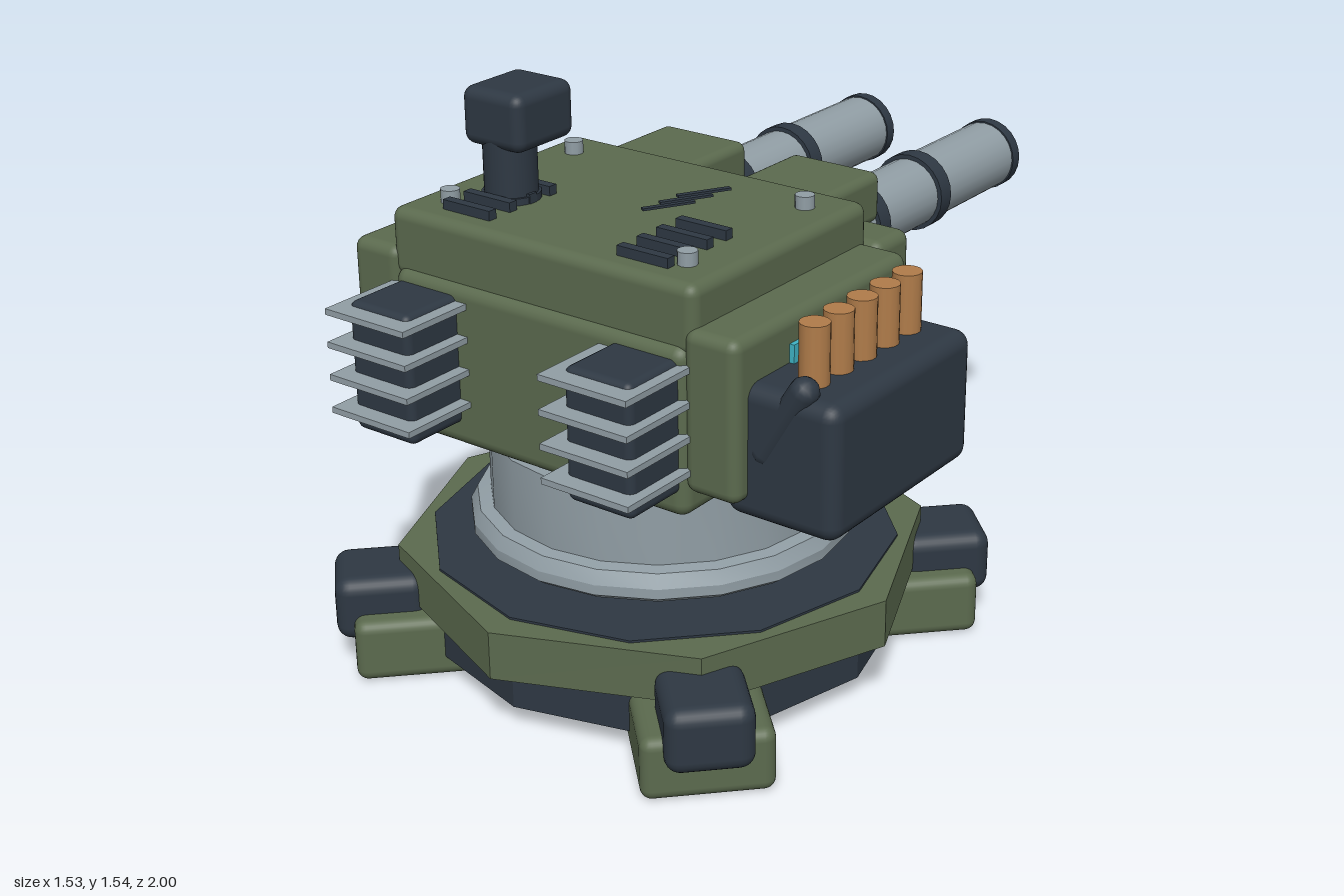
import * as THREE from 'three';
import { RoundedBoxGeometry } from 'three/addons/geometries/RoundedBoxGeometry.js';
import { toCreasedNormals } from 'three/addons/utils/BufferGeometryUtils.js';

const material = (color) => new THREE.MeshStandardMaterial({ color });
const GREEN = material(0x5b6a4e), DARK = material(0x2e3843), GREY = material(0x919ea5);
const CYAN = material(0x3fb4c6), BRASS = material(0xb07c4a);
const CX = -0.07, CZ = 0.28; // turret axis

export function createModel() {
  const model = new THREE.Group();

  const add = (name, geometry, mat, x = 0, y = 0, z = 0, parent = model) => {
    const mesh = new THREE.Mesh(geometry, mat);
    mesh.name = name;
    mesh.position.set(x, y, z);
    parent.add(mesh);
    return mesh;
  };
  // box given by its extents; radius 0 leaves it sharp
  const box = (name, mat, [x0, x1], [y0, y1], [z0, z1], radius = 0, parent = model) => {
    const size = [x1 - x0, y1 - y0, z1 - z0];
    const geometry = radius ? new RoundedBoxGeometry(...size, 3, radius) : new THREE.BoxGeometry(...size);
    return add(name, geometry, mat, (x0 + x1) / 2, (y0 + y1) / 2, (z0 + z1) / 2, parent);
  };
  // upright cylinder between two heights
  const drum = (name, mat, r, y0, y1, x, z, sides, flat = false) => {
    let geometry = new THREE.CylinderGeometry(r, r, y1 - y0, sides);
    if (flat) geometry = toCreasedNormals(geometry, 0.1);
    return add(name, geometry, mat, x, (y0 + y1) / 2, z);
  };

  // base plates
  drum('basePlate', GREEN, 0.7, 0.18, 0.31, CX, CZ, 8, true);
  drum('baseUnderside', DARK, 0.62, 0.06, 0.18, CX, CZ, 12, true);
  drum('baseDeck', DARK, 0.62, 0.3, 0.316, CX, CZ, 12, true);

  // four diagonal feet with knee blocks
  for (let i = 0; i < 4; i++) {
    const leg = new THREE.Group();
    leg.name = 'leg';
    leg.position.set(CX, 0, CZ);
    leg.rotation.y = Math.PI / 4 + i * Math.PI / 2;
    box('foot', GREEN, [-0.165, 0.165], [0, 0.17], [0.49, 0.825], 0.03, leg);
    box('kneeBlock', DARK, [-0.11, 0.11], [0.09, 0.265], [0.63, 0.87], 0.04, leg);
    model.add(leg);
  }

  // turning ring: drum with a bevelled collar
  const ringProfile = [[0, 0.35], [0.485, 0.35], [0.508, 0.368], [0.508, 0.395], [0.49, 0.43],
    [0.455, 0.435], [0.455, 0.63], [0, 0.63]].map(([r, y]) => new THREE.Vector2(r, y));
  add('turningRing', toCreasedNormals(new THREE.LatheGeometry(ringProfile, 20), 0.45), GREY, CX, 0, CZ);

  // turret hull
  box('hull', GREEN, [-0.52, 0.385], [0.665, 1.1], [0, 0.78], 0.035);
  box('hullRoof', GREEN, [-0.537, 0.4], [1.07, 1.25], [0.04, 0.76], 0.03);
  box('rearPlate', GREEN, [-0.58, 0.445], [0.67, 1.15], [-0.09, 0.06], 0.03);

  // mirrored sides: cheek, light strip, cooler and gun
  for (const s of [-1, 1]) {
    const span = (a, b) => [CX + s * a, CX + s * b].sort((p, q) => p - q);
    box('cheekPlate', GREEN, span(0.44, 0.595), [0.735, 1.147], [0.05, 0.77], 0.03);
    box('lightStrip', CYAN, span(0.58, 0.608), [1.02, 1.077], [0.145, 0.56]);

    box('coolerBlock', DARK, span(0.24, 0.435), [0.73, 1.07], [0.74, 0.952], 0.02);
    for (const y of [0.79, 0.877, 0.963, 1.05]) {
      box('coolerFin', GREY, span(0.207, 0.463), [y - 0.008, y + 0.008], [0.74, 1]);
    }

    const gunX = CX + s * 0.213;
    box('barrelHousing', GREEN, span(0.075, 0.35), [1.1, 1.237], [-0.205, 0.12], 0.025);
    const along = (name, mat, r, z0, z1) => {
      const geometry = new THREE.CylinderGeometry(r, r, z1 - z0, 24).rotateX(Math.PI / 2);
      return add(name, geometry, mat, gunX, 1.05, (z0 + z1) / 2);
    };
    along('barrel', GREY, 0.096, -0.98, 0);
    along('barrelBand', DARK, 0.108, -0.305, -0.255);
    along('barrelBand', DARK, 0.108, -0.61, -0.56);
    along('muzzlePlate', DARK, 0.09, -0.985, -0.96);
    const muzzleProfile = [[0.068, -0.02], [0.1, -0.02], [0.1, 0.015], [0.068, 0.015], [0.068, -0.02]]
      .map(([r, y]) => new THREE.Vector2(r, y));
    const rim = toCreasedNormals(new THREE.LatheGeometry(muzzleProfile, 24).rotateX(Math.PI / 2), 0.6);
    add('muzzleRim', rim, DARK, gunX, 1.05, -0.98);
  }

  // ammunition box, rounds and feed chute
  box('ammoBox', DARK, [0.45, 0.765], [0.688, 1.03], [0.13, 0.725], 0.04);
  for (let i = 0; i < 5; i++) drum('round', BRASS, 0.037, 0.98, 1.18, 0.635, 0.232 + i * 0.097, 14);
  const chute = add('feedChute', new THREE.CapsuleGeometry(0.037, 0.2, 4, 12), DARK, 0.608, 0.953, 0.695);
  chute.rotation.z = -0.53;

  // sensor mast
  drum('sensorFoot', DARK, 0.075, 1.25, 1.268, -0.338, 0.53, 20);
  drum('sensorMast', DARK, 0.068, 1.25, 1.42, -0.338, 0.53, 20);
  box('sensorHead', DARK, [-0.434, -0.244], [1.388, 1.537], [0.385, 0.6], 0.03);
  add('sensorLens', new THREE.CylinderGeometry(0.052, 0.052, 0.04, 24).rotateX(Math.PI / 2), CYAN, -0.338, 1.463, 0.378);

  // roof bolts, vent slits and slanted marks
  for (const x of [-0.437, 0.297]) {
    for (const z of [0.17, 0.645]) drum('roofBolt', GREY, 0.025, 1.245, 1.284, x, z, 12);
  }
  for (const x of [-0.338, 0.205]) {
    for (const z of [0.46, 0.535, 0.61, 0.685]) {
      box('ventSlit', DARK, [x - 0.075, x + 0.075], [1.245, 1.275], [z - 0.013, z + 0.013]);
    }
  }
  for (let i = 0; i < 3; i++) {
    const mark = add('slantedMark', new THREE.BoxGeometry(0.015, 0.006, 0.138), DARK, 0.055 + i * 0.054, 1.272 + i * 0.028, 0.403);
    mark.rotation.y = -0.52;
  }

  return model;
}
